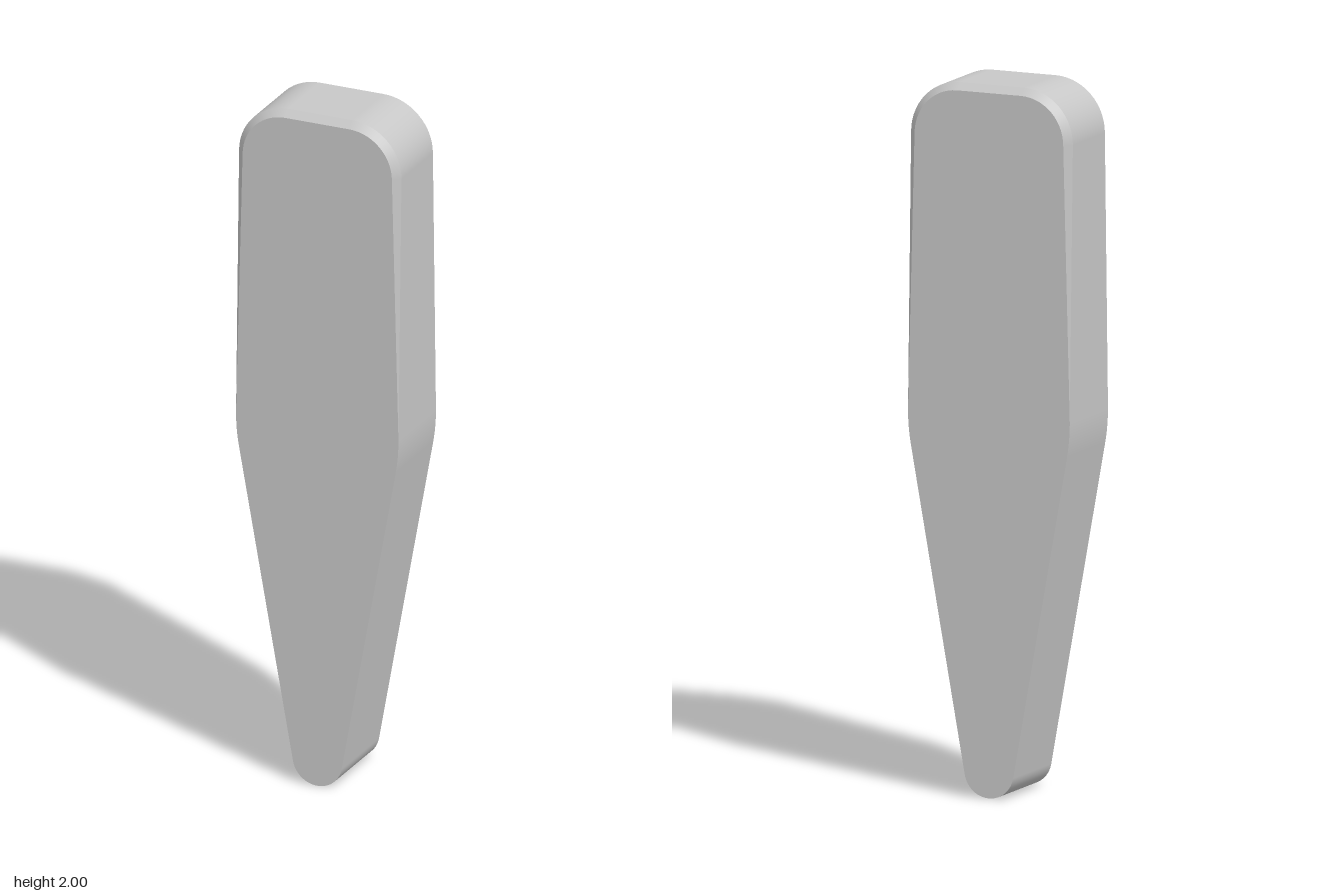
import * as THREE from 'three';

const HALF_THICK = 0.123;
const BEVEL = 0.02;
const TAPER = 0.178; // lean of the lower sides, radians

// Half outline from bottom to top: tangent arcs joined by straight runs.
function halfOutline() {
  const pts = [];
  const arc = (cx, cy, r, from, to, n) => {
    for (let i = 0; i <= n; i++) {
      const a = from + (to - from) * i / n;
      const nx = Math.cos(a), ny = Math.sin(a);
      const x = cx + r * nx, y = cy + r * ny;
      // bevel grows from nothing at the widest point to full at the top corner
      const t = BEVEL * THREE.MathUtils.clamp((y - 1.073) / (1.85 - 1.073), 0, 1);
      pts.push({ x, y, nx, ny, t });
    }
  };
  arc(0, 0.075, 0.075, -Math.PI / 2, -TAPER, 14);   // rounded tip
  arc(-0.303, 1.073, 0.55, -TAPER, 0, 6);           // soft bend at the widest point
  arc(0.097, 1.85, 0.15, 0, Math.PI / 2, 14);       // top corner
  return pts;
}

// Strip of quads between two rows of { position, normal } pairs.
function strip(rowA, rowB) {
  const position = [], normal = [], index = [];
  rowA.forEach((a, i) => {
    position.push(...a.p, ...rowB[i].p);
    normal.push(...a.n, ...rowB[i].n);
    if (i === rowA.length - 1) return;
    const k = i * 2;
    index.push(k, k + 2, k + 1, k + 1, k + 2, k + 3);
  });
  const g = new THREE.BufferGeometry();
  g.setAttribute('position', new THREE.Float32BufferAttribute(position, 3));
  g.setAttribute('normal', new THREE.Float32BufferAttribute(normal, 3));
  g.setIndex(index);
  return g;
}

export function createModel() {
  const group = new THREE.Group();
  group.name = 'taperedSlab';
  const grey = new THREE.MeshStandardMaterial({ color: 0xc8c8c8 });
  grey.name = 'grey';

  const add = (name, geometry) => {
    const mesh = new THREE.Mesh(geometry, grey);
    mesh.name = name;
    group.add(mesh);
    return mesh;
  };

  const right = halfOutline();
  const left = right.slice(1).reverse().map(q => ({ ...q, x: -q.x, nx: -q.nx }));
  const loop = [...right, ...left, right[0]]; // counter-clockwise seen from +z

  // Rim around the edge
  const rim = s => loop.map(q => ({ p: [q.x, q.y, s * (HALF_THICK - q.t)], n: [q.nx, q.ny, 0] }));
  add('rim', strip(rim(-1), rim(1)));

  // Bevels round the upper half, front and back
  const upper = loop.filter(q => q.y > 1.07);
  for (const s of [1, -1]) {
    const row = inner => upper.map(q => ({
      p: inner
        ? [q.x - q.t * q.nx, q.y - q.t * q.ny, s * HALF_THICK]
        : [q.x, q.y, s * (HALF_THICK - q.t)],
      n: [q.nx * Math.SQRT1_2, q.ny * Math.SQRT1_2, s * Math.SQRT1_2],
    }));
    add(s > 0 ? 'frontBevel' : 'backBevel', s > 0 ? strip(row(false), row(true)) : strip(row(true), row(false)));
  }

  // Flat faces
  const shape = new THREE.Shape(loop.slice(0, -1).map(q =>
    new THREE.Vector2(q.x - q.t * q.nx, q.y - q.t * q.ny)));
  const face = new THREE.ShapeGeometry(shape);
  add('frontFace', face).position.z = HALF_THICK;
  const back = add('backFace', face);
  back.position.z = -HALF_THICK;
  back.rotation.y = Math.PI;

  // The slab stands diagonally
  group.rotation.y = -Math.PI / 4;
  const root = new THREE.Group();
  root.name = 'model';
  root.add(group);
  return root;
}
